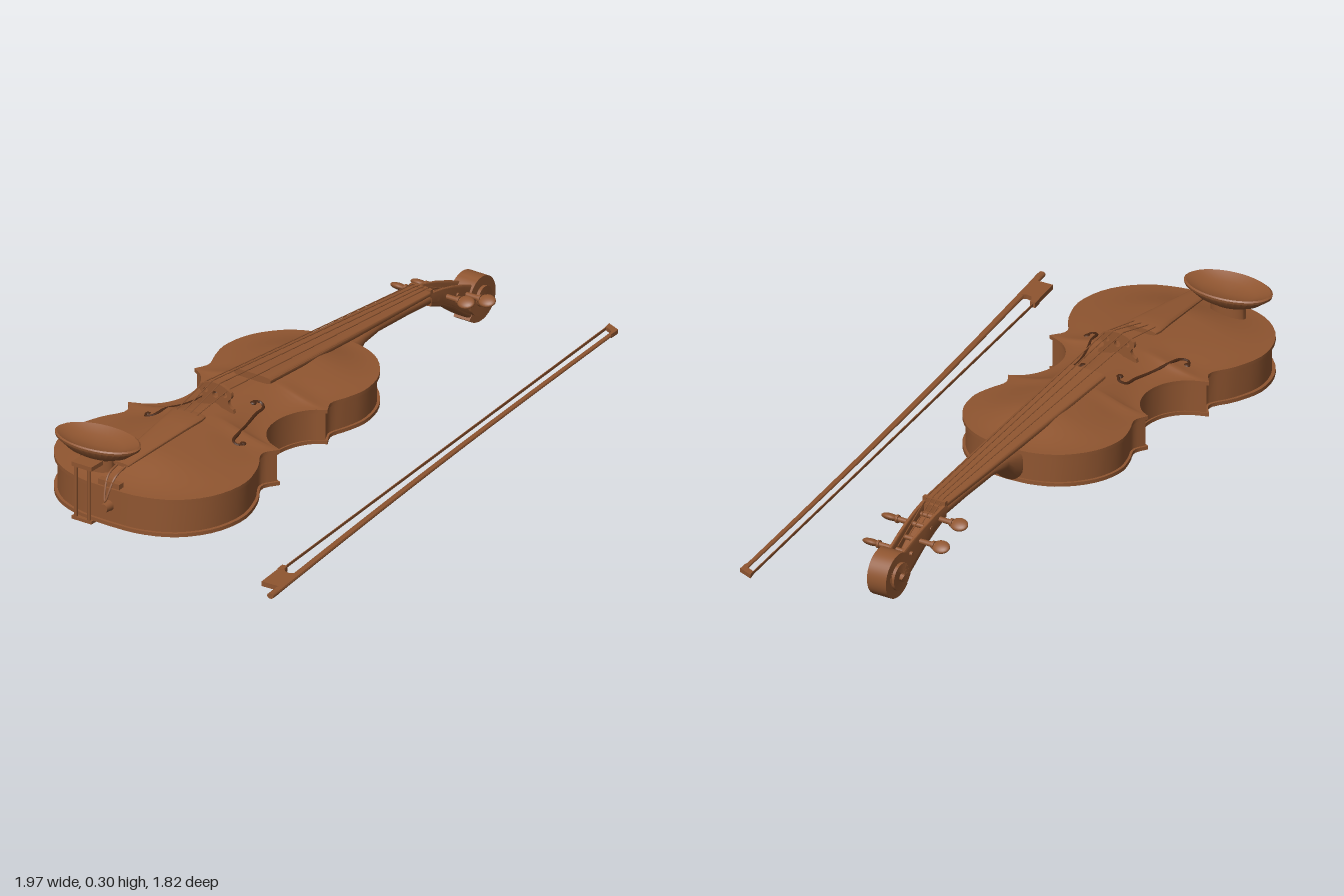
import * as THREE from 'three';
import { toCreasedNormals } from 'three/addons/utils/BufferGeometryUtils.js';

const wood = new THREE.MeshStandardMaterial({ color: 0x8f5530 });
const dark = new THREE.MeshStandardMaterial({ color: 0x4a2814 });
const V = (x, y, z) => new THREE.Vector3(x, y, z);

function add(parent, name, geo, mat = wood) {
  const m = new THREE.Mesh(geo, mat);
  m.name = name;
  parent.add(m);
  return m;
}

// Skin over closed rings of equal point count, optionally capped at both ends
function loft(rings, crease = 0.6, caps = true) {
  const n = rings[0].length, pos = rings.flat().flatMap(p => [p.x, p.y, p.z]), idx = [];
  for (let j = 0; j < rings.length - 1; j++) for (let i = 0; i < n; i++) {
    const a = j * n + i, b = j * n + (i + 1) % n;
    idx.push(a, b, b + n, a, b + n, a + n);
  }
  if (caps) [0, rings.length - 1].forEach((j, end) => {
    const c = rings[j].reduce((s, p) => s.add(p), V(0, 0, 0)).divideScalar(n);
    const ci = pos.length / 3;
    pos.push(c.x, c.y, c.z);
    for (let i = 0; i < n; i++) {
      const a = j * n + i, b = j * n + (i + 1) % n;
      end ? idx.push(ci, a, b) : idx.push(ci, b, a);
    }
  });
  const g = new THREE.BufferGeometry();
  g.setAttribute('position', new THREE.Float32BufferAttribute(pos, 3));
  g.setIndex(idx);
  return toCreasedNormals(g, crease);
}

// Bar along x from sections [x, top, bottom, halfWidth, zCentre]; power 1 = round, small = boxy
function bar(sections, power = 1, sides = 24) {
  const sp = v => Math.sign(v) * Math.abs(v) ** power;
  return loft(sections.map(([x, top, bot, w, zc = 0]) => Array.from({ length: sides }, (_, i) => {
    const t = (i + 0.5) / sides * Math.PI * 2;
    return V(x, (top + bot) / 2 + sp(Math.cos(t)) * (top - bot) / 2, zc + sp(Math.sin(t)) * w);
  })));
}

const tube = (pts, r, seg = 40, sides = 6) =>
  new THREE.TubeGeometry(new THREE.CatmullRomCurve3(pts), seg, r, sides);

// Half outline of the body: lower bout, waist, upper bout, meeting at sharp corners
const half = [
  [[-.9, 0], [-.893, .11], [-.85, .22], [-.76, .3], [-.64, .328], [-.53, .298], [-.45, .255], [-.4, .285]],
  [[-.4, .285], [-.372, .222], [-.32, .178], [-.25, .162], [-.18, .176], [-.13, .21], [-.105, .25]],
  [[-.105, .25], [-.06, .23], [0, .25], [.07, .265], [.17, .243], [.26, .17], [.3, .085], [.31, 0]],
].flatMap((pts, k) => new THREE.CatmullRomCurve3(pts.map(([u, w]) => V(u, 0, w))).getPoints(24).slice(k ? 1 : 0));
const outline = [...half, ...half.slice(1, -1).reverse().map(p => V(p.x, 0, -p.z))];

const ribBottom = u => .04 + .044 * (u + .8);
const ribTop = u => .165 + .03 * (u + .8);
const arch = f => (Math.cos(Math.PI * Math.min(f, 1)) + 1) / 2;
function topY(u, w) {
  const p = half.reduce((a, b) => Math.abs(b.x - u) < Math.abs(a.x - u) ? b : a);
  return ribTop(u) + .045 * arch(Math.abs(w) / p.z);
}

function bodyGeometry() {
  // The outline shrinks toward a spine line by factor f
  const ring = (f, y) => outline.map(p => {
    const u = THREE.MathUtils.lerp(THREE.MathUtils.clamp(p.x, -.66, .08), p.x, f);
    return V(u, y(u), p.z * f);
  });
  const fs = Array.from({ length: 13 }, (_, i) => i / 12);
  return loft([
    ...fs.map(f => ring(f, u => ribBottom(u) - .038 * arch(f))),
    ring(1, u => ribBottom(u) + .012), ring(.965, u => ribBottom(u) + .012),
    ring(.965, u => ribTop(u) - .012), ring(1, u => ribTop(u) - .012),
    ...fs.reverse().map(f => ring(f, u => ribTop(u) + .045 * arch(f))),
  ], 0.6, false);
}

function bridgeGeometry() {
  const s = new THREE.Shape();
  s.moveTo(-.07, 0); s.lineTo(-.03, 0);
  s.quadraticCurveTo(0, .035, .03, 0);
  s.lineTo(.07, 0); s.lineTo(.066, .012);
  s.quadraticCurveTo(.042, .022, .05, .04);
  s.quadraticCurveTo(.066, .05, .058, .066);
  s.quadraticCurveTo(0, .104, -.058, .066);
  s.quadraticCurveTo(-.066, .05, -.05, .04);
  s.quadraticCurveTo(-.042, .022, -.066, .012);
  for (const [x, y, r] of [[0, .046, .011], [-.036, .052, .008], [.036, .052, .008]])
    s.holes.push(new THREE.Path().absarc(x, y, r, 0, Math.PI * 2, true));
  return new THREE.ExtrudeGeometry(s, { depth: .012, bevelEnabled: false, curveSegments: 10 })
    .translate(0, 0, -.006).rotateY(Math.PI / 2);
}

// Spiral band that winds inward and widens toward the eye
function scrollGeometry(cx, cy) {
  const rings = [], n = 110;
  for (let k = 0; k <= n; k++) {
    const t = k / n, a = -2.3 + t * 4.6 * Math.PI;
    const ro = .08 - .062 * Math.max(0, t - .12) / .88, ri = Math.max(ro - .033, .002), w = .03 + .024 * t;
    rings.push([[ro, w], [ro, -w], [ri, -w], [ri, w]].map(([r, z]) => V(cx + r * Math.cos(a), cy + r * Math.sin(a), z)));
  }
  return loft(rings);
}

function createViolin() {
  const g = new THREE.Group();
  g.name = 'violin';
  add(g, 'body', bodyGeometry());

  // Sound holes follow the arched top
  for (const s of [1, -1]) {
    const path = [[-.235, .062], [-.215, .078], [-.225, .095], [-.27, .1], [-.34, .118], [-.41, .14], [-.455, .15], [-.465, .17], [-.445, .183]];
    add(g, 'soundHole', tube(path.map(([u, w]) => V(u, topY(u, w) - .002, s * w)), .006, 60), dark);
    for (const [u, w] of [[-.238, .066], [-.444, .178]]) {
      const eye = add(g, 'soundHoleEye', new THREE.SphereGeometry(.011, 12, 8), dark);
      eye.position.set(u, topY(u, w) - .002, s * w);
      eye.scale.y = .6;
    }
  }

  // Neck and fingerboard
  add(g, 'neckHeel', bar([[.27, .205, .088, .055], [.31, .205, .09, .052], [.335, .205, .115, .048], [.37, .205, .155, .046],
    [.45, .21, .168, .044], [.6, .204, .162, .041], [.74, .196, .152, .039]], .8));
  add(g, 'fingerboard', bar([[-.15, .258, .235, .069], [.3, .232, .206, .055], [.715, .207, .188, .041]], .5));
  add(g, 'nut', new THREE.BoxGeometry(.014, .026, .08)).position.set(.722, .198, 0);

  // Pegbox: back and two cheeks
  const box = [[.72, .2, .153, .04], [.78, .19, .128, .038], [.84, .175, .095, .035], [.9, .155, .05, .031], [.95, .135, .018, .028]];
  add(g, 'pegboxBack', bar(box.map(([x, t, b, w]) => [x, b + (t - b) * .45, b, w]), .4));
  for (const s of [1, -1])
    add(g, 'pegboxCheek', bar(box.map(([x, t, b, w]) => [x, t, b + .012, .006, s * (w - .005)]), .3, 16));
  add(g, 'scroll', scrollGeometry(.983, .081));
  add(g, 'scrollCore', new THREE.CylinderGeometry(.05, .05, .07, 32).rotateX(Math.PI / 2)).position.set(.983, .081, 0);

  // Four pegs on alternating sides
  const pegs = [[.757, .167, -1], [.805, .155, 1], [.862, .138, -1], [.914, .118, 1]];
  for (const [x, y, s] of pegs) {
    const peg = new THREE.Group();
    peg.name = 'peg';
    add(peg, 'pegShaft', new THREE.CylinderGeometry(.009, .007, .13, 14).rotateX(Math.PI / 2)).position.z = .025;
    add(peg, 'pegCollar', new THREE.CylinderGeometry(.013, .013, .008, 14).rotateX(Math.PI / 2)).position.z = .082;
    add(peg, 'pegHead', new THREE.SphereGeometry(1, 18, 12).scale(.024, .011, .03)).position.z = .108;
    peg.position.set(x, y, 0);
    peg.rotation.set(0, s < 0 ? Math.PI : 0, .5);
    g.add(peg);
  }

  // Bridge, tailpiece and strings
  add(g, 'bridge', bridgeGeometry()).position.set(-.336, .214, 0);
  add(g, 'tailpiece', bar([[-.83, .22, .208, .028], [-.72, .234, .216, .037], [-.56, .252, .23, .052], [-.49, .258, .236, .06], [-.465, .254, .238, .054]], .7));
  add(g, 'tailGut', tube([V(-.82, .212, -.015), V(-.88, .19, -.013), V(-.912, .12, 0), V(-.88, .19, .013), V(-.82, .212, .015)], .004));
  add(g, 'endButton', new THREE.CylinderGeometry(.014, .018, .03, 16).rotateZ(Math.PI / 2)).position.set(-.905, .1, 0);
  add(g, 'saddle', new THREE.BoxGeometry(.022, .02, .08)).position.set(-.882, .17, 0);
  pegs.forEach(([px, py], i) => {
    const k = (i - 1.5) / 1.5, pts = [V(-.49, .256, k * .038), V(-.336, .302 - .015 * k * k, k * .046), V(.722, .214, k * .026), V(px, py + .01, k * .015)];
    const path = new THREE.CurvePath();
    pts.slice(1).forEach((p, j) => path.add(new THREE.LineCurve3(pts[j], p)));
    add(g, 'string', new THREE.TubeGeometry(path, 60, .0018, 5));
  });

  // Chin rest with its clamp
  const cup = [[.001, .17], [.06, .17], [.06, .21], [.11, .23], [.148, .258], [.15, .266], [.143, .27], [.09, .25], [.001, .242]];
  const rest = add(g, 'chinRest', toCreasedNormals(new THREE.LatheGeometry(cup.map(p => new THREE.Vector2(...p)), 40), .7));
  rest.position.set(-.81, 0, -.1);
  rest.scale.x = .58;
  for (const z of [-.065, -.115])
    add(g, 'clampScrew', new THREE.CylinderGeometry(.006, .006, .18, 10)).position.set(-.904, .125, z);
  add(g, 'clampFoot', new THREE.BoxGeometry(.05, .01, .075)).position.set(-.885, .032, -.09);
  add(g, 'clampTop', new THREE.BoxGeometry(.06, .014, .075)).position.set(-.88, .212, -.09);

  g.position.set(-.189, 0, -.238);
  g.rotation.y = .669;
  return g;
}

function createBow() {
  const g = new THREE.Group();
  g.name = 'bow';
  // Tapered, slightly cambered stick; the hair lies on its -z side
  add(g, 'stick', bar(Array.from({ length: 17 }, (_, i) => {
    const t = i / 16, r = .0115 - .004 * t;
    return [-1.04 + 2.09 * t, r * .75, -r * .75, r, -.012 * Math.sin(Math.PI * t)];
  }), 1, 10));
  add(g, 'endScrew', new THREE.CylinderGeometry(.012, .012, .035, 10).rotateZ(Math.PI / 2).scale(1, .75, 1)).position.x = -1.05;

  const slab = (name, pts, h) => {
    const s = new THREE.Shape(pts.map(([x, z]) => new THREE.Vector2(x, -z)));
    add(g, name, new THREE.ExtrudeGeometry(s, { depth: h, bevelEnabled: false }).rotateX(-Math.PI / 2).translate(0, -h / 2, 0));
  };
  slab('frog', [[-1.01, 0], [-.9, 0], [-.915, -.02], [-.908, -.04], [-.885, -.05], [-.885, -.066], [-1.005, -.066]], .016);
  slab('ferrule', [[-.905, -.046], [-.875, -.05], [-.875, -.068], [-.905, -.068]], .018);
  slab('tipHead', [[1.01, .006], [1.05, .008], [1.075, -.038], [1.05, -.036], [1.035, -.01]], .013);

  // Ribbon of hair from frog to tip
  const hair = add(g, 'hair', new THREE.BoxGeometry(1.944, .009, .003));
  hair.position.set(.09, 0, -.0475);
  hair.rotation.y = -.0129;

  g.position.set(.22, .02, .14);
  g.rotation.set(0, .7788, .005);
  return g;
}

export function createModel() {
  const model = new THREE.Group();
  model.name = 'violinAndBow';
  model.add(createViolin(), createBow());
  return model;
}
